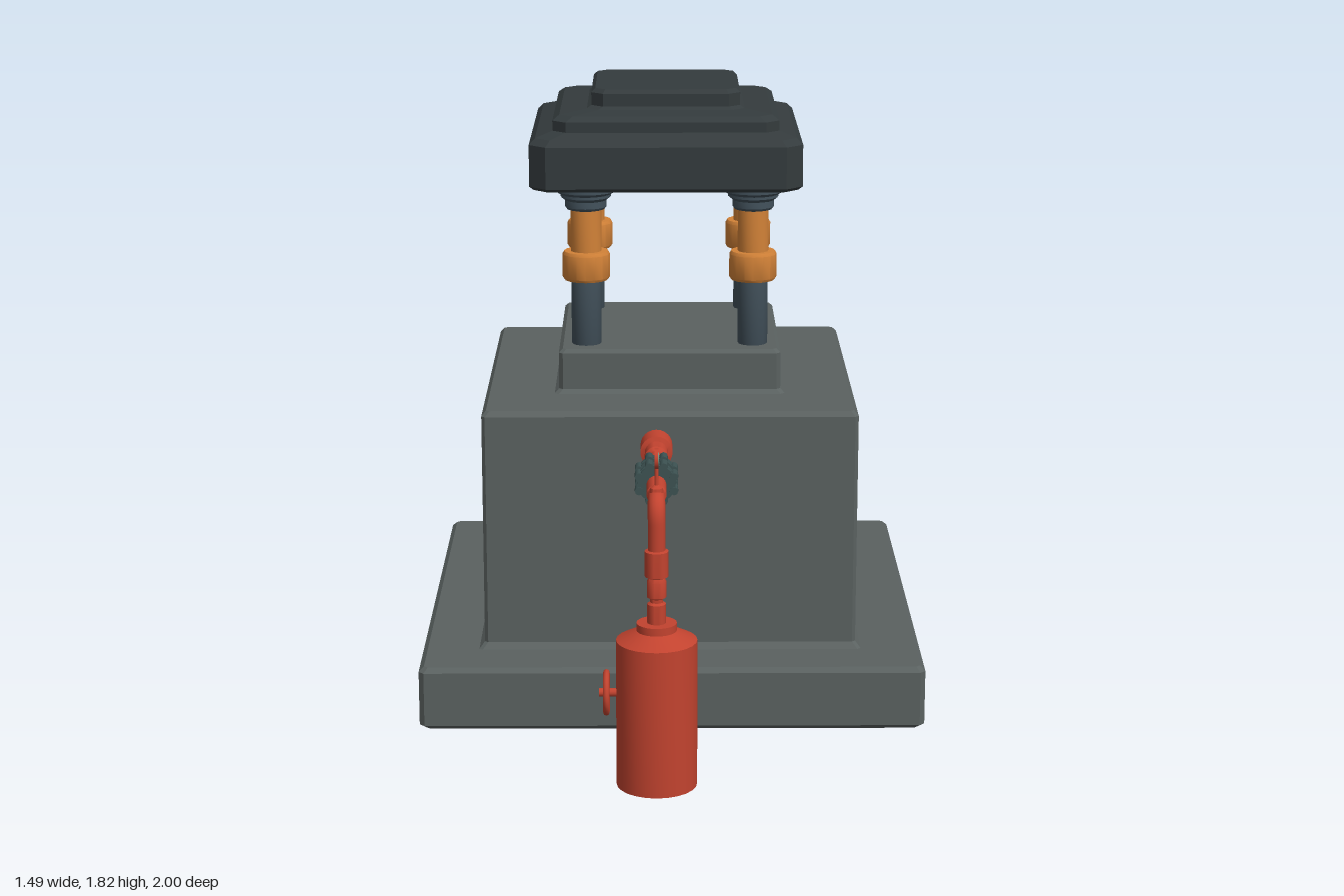
import * as THREE from 'three';
import { toCreasedNormals } from 'three/addons/utils/BufferGeometryUtils.js';

const paint = (color, side = THREE.FrontSide) => new THREE.MeshStandardMaterial({ color, side });
const stone = paint(0x5a6160), stoneInner = paint(0x5a6160, THREE.DoubleSide);
const dark = paint(0x343b3d), steel = paint(0x43525c), orange = paint(0xd28238);
const red = paint(0xc2432f), iron = paint(0x3d5353);
const teal = paint(0x27a598, THREE.DoubleSide), dial = paint(0x35d0c0);

function add(parent, name, geometry, material, x = 0, y = 0, z = 0) {
  const mesh = new THREE.Mesh(geometry, material);
  mesh.name = name;
  mesh.position.set(x, y, z);
  parent.add(mesh);
  return mesh;
}

// Flat-sided skin through rings of [x, y, z] points, with optional end caps
function loft(rings, { bottom = false, top = false, skip = () => false } = {}) {
  const out = [], n = rings[0].length;
  const tri = (...points) => points.forEach((p) => out.push(...p));
  for (let r = 0; r < rings.length - 1; r++) {
    for (let i = 0; i < n; i++) {
      if (skip(r, i)) continue;
      const j = (i + 1) % n, a = rings[r], b = rings[r + 1];
      tri(a[i], a[j], b[j]);
      tri(a[i], b[j], b[i]);
    }
  }
  const first = rings[0], last = rings[rings.length - 1];
  for (let i = 1; i < n - 1; i++) {
    if (bottom) tri(first[0], first[i + 1], first[i]);
    if (top) tri(last[0], last[i], last[i + 1]);
  }
  const geometry = new THREE.BufferGeometry();
  geometry.setAttribute('position', new THREE.Float32BufferAttribute(out, 3));
  geometry.computeVertexNormals();
  return geometry;
}

// Square ring with cut corners: half width h, height y, corner cut c
const square = (h, y, c) => [
  [c - h, y, h], [h - c, y, h], [h, y, h - c], [h, y, c - h],
  [h - c, y, -h], [c - h, y, -h], [-h, y, c - h], [-h, y, h - c],
];
const stack = (steps, options) => loft(steps.map((s) => square(...s)), options);

// Turned part from [radius, height] pairs
function turned(profile, sides = 24, crease = 0.6) {
  const points = profile.map(([r, y]) => new THREE.Vector2(r, y));
  return toCreasedNormals(new THREE.LatheGeometry(points, sides), crease);
}

function buildBody(group) {
  const cx = -0.005, cz = -0.25, h = 0.553, c = 0.01;
  const body = new THREE.Group();
  body.name = 'body';
  body.position.set(cx, 0, cz);
  group.add(body);
  // The window wall is left open here and filled by a panel with a hole
  add(body, 'bodyWalls', stack([[0.575, 0.185, c], [h, 0.21, c], [h, 0.905, c], [0.54, 0.92, c]],
    { top: true, skip: (r, i) => r === 1 && i === 6 }), stone);

  const z0 = -0.32, z1 = 0.33, y0 = 0.45, y1 = 0.82;
  const wall = new THREE.Shape([
    new THREE.Vector2(c - h, 0.21), new THREE.Vector2(h - c, 0.21),
    new THREE.Vector2(h - c, 0.905), new THREE.Vector2(c - h, 0.905)]);
  wall.holes.push(new THREE.Path([
    new THREE.Vector2(z0, y0), new THREE.Vector2(z0, y1),
    new THREE.Vector2(z1, y1), new THREE.Vector2(z1, y0)]));
  add(body, 'windowWall', new THREE.ShapeGeometry(wall).rotateY(-Math.PI / 2), stone, -h, 0, 0);

  // Stepped window frame and the glazed pocket behind it
  const rect = (depth, inset) => {
    const x = depth - h, i = inset;
    return [[x, y0 + i, z0 + i], [x, y0 + i, z1 - i], [x, y1 - i, z1 - i], [x, y1 - i, z0 + i]];
  };
  add(body, 'windowFrame', loft([rect(0, 0), rect(0.05, 0), rect(0.05, 0.05), rect(0.09, 0.05)]), stoneInner);
  add(body, 'windowGlass', loft([rect(0.09, 0.05), rect(0.12, 0.05)], { top: true }), teal);
}

function buildColumns(group) {
  for (const x of [-0.255, 0.245]) {
    for (const z of [-0.505, -0.018]) {
      const column = new THREE.Group();
      column.name = 'column';
      column.position.set(x, 0, z);
      group.add(column);
      add(column, 'columnPost', turned([[0.038, 1.04], [0.045, 1.055], [0.045, 1.26]], 16), steel);
      add(column, 'columnSleeve', turned([[0.045, 1.25], [0.066, 1.25], [0.071, 1.258], [0.071, 1.328],
        [0.066, 1.337], [0.046, 1.337], [0.046, 1.47]], 16), orange);
      add(column, 'columnCap', turned([[0.045, 1.462], [0.057, 1.465], [0.062, 1.472], [0.062, 1.492],
        [0.075, 1.502], [0.075, 1.51], [0.092, 1.52], [0.092, 1.545]], 16), steel);
    }
  }
}

function buildTank(group) {
  const tank = new THREE.Group();
  tank.name = 'tank';
  tank.position.set(-0.045, 0, 0.888);
  group.add(tank);
  add(tank, 'tankCylinder', turned([[0, 0], [0.113, 0], [0.113, 0.425], [0.056, 0.453], [0.056, 0.475],
    [0.026, 0.475], [0.026, 0.53], [0.018, 0.535], [0.018, 0.545], [0.027, 0.55], [0.027, 0.595],
    [0.022, 0.605], [0.033, 0.61], [0.033, 0.682], [0.024, 0.685]]), red);

  // Hand wheel on the tank's side
  const wheel = new THREE.Group();
  wheel.name = 'handWheel';
  wheel.position.set(-0.14, 0.27, 0);
  wheel.rotation.y = Math.PI / 2;
  tank.add(wheel);
  add(wheel, 'wheelRim', new THREE.TorusGeometry(0.056, 0.009, 8, 24), red);
  for (let i = 0; i < 3; i++) {
    add(wheel, 'wheelSpoke', new THREE.CylinderGeometry(0.005, 0.005, 0.11, 8), red).rotation.z = i * Math.PI / 3;
  }
  add(wheel, 'wheelHub', new THREE.CylinderGeometry(0.012, 0.012, 0.07, 12).rotateX(Math.PI / 2), red, 0, 0, 0.015);
}

function buildPipe(group) {
  const pipe = new THREE.Group();
  pipe.name = 'pipe';
  pipe.position.set(-0.045, 0.82, 0);
  group.add(pipe);
  // Riser, elbow and horizontal run
  const v = (y, z) => new THREE.Vector3(0, y, z);
  const path = new THREE.CurvePath();
  path.add(new THREE.LineCurve3(v(-0.15, 0.888), v(-0.06, 0.888)));
  path.add(new THREE.QuadraticBezierCurve3(v(-0.06, 0.888), v(0, 0.888), v(0, 0.828)));
  path.add(new THREE.LineCurve3(v(0, 0.828), v(0, 0.3)));
  add(pipe, 'pipeRun', new THREE.TubeGeometry(path, 70, 0.024, 16), red);
  const along = (profile) => turned(profile).rotateX(Math.PI / 2);
  add(pipe, 'wallSocket', along([[0.047, 0.29], [0.047, 0.38], [0.034, 0.385], [0.034, 0.44], [0.024, 0.45]]), red);
  add(pipe, 'pipeSleeve', along([[0.02, 0.72], [0.028, 0.72], [0.028, 0.81], [0.02, 0.82]]), red);

  // Bolted flange pair
  for (const z of [0.618, 0.688]) {
    const flange = new THREE.Group();
    flange.name = 'flange';
    flange.position.z = z;
    pipe.add(flange);
    add(flange, 'flangeDisc', along([[0.02, -0.02], [0.054, -0.02], [0.054, -0.008], [0.048, -0.006],
      [0.048, 0.006], [0.054, 0.008], [0.054, 0.02], [0.02, 0.02]]), iron);
    for (let i = 0; i < 8; i++) {
      const a = (i + 0.5) * Math.PI / 4;
      add(flange, 'flangeBolt', new THREE.CylinderGeometry(0.012, 0.012, 0.046, 8).rotateX(Math.PI / 2),
        iron, Math.cos(a) * 0.053, Math.sin(a) * 0.053, 0);
    }
  }

  // Pressure gauge
  const gauge = new THREE.Group();
  gauge.name = 'gauge';
  gauge.position.set(0, 0, 0.838);
  pipe.add(gauge);
  add(gauge, 'gaugeStem', turned([[0.02, 0.01], [0.018, 0.028], [0.006, 0.036], [0.005, 0.09]], 12), red);
  add(gauge, 'gaugeCase', new THREE.CylinderGeometry(0.028, 0.028, 0.01, 20).rotateZ(Math.PI / 2), red, 0, 0.11, 0);
  add(gauge, 'gaugeDial', new THREE.CylinderGeometry(0.018, 0.018, 0.003, 20).rotateZ(Math.PI / 2), dial, 0.005, 0.11, 0);
}

export function createModel() {
  const group = new THREE.Group();
  group.name = 'machine';
  // Stepped stone base
  add(group, 'basePlate', stack([[0.725, 0, 0.012], [0.743, 0.015, 0.015], [0.743, 0.178, 0.015],
    [0.728, 0.192, 0.012]], { bottom: true, top: true }), stone, 0, 0, -0.256);
  buildBody(group);
  add(group, 'upperPlinth', stack([[0.35, 0.915, 0.012], [0.332, 0.932, 0.012], [0.332, 1.042, 0.012],
    [0.32, 1.053, 0.01]], { top: true }), stone, -0.005, 0, -0.253);
  buildColumns(group);
  // Tiered roof slab
  add(group, 'roofSlab', stack([[0.39, 1.537, 0.045], [0.403, 1.548, 0.05], [0.403, 1.672, 0.05],
    [0.385, 1.69, 0.045], [0.335, 1.705, 0.04], [0.335, 1.735, 0.04], [0.315, 1.75, 0.04],
    [0.235, 1.757, 0.035], [0.222, 1.765, 0.035], [0.222, 1.803, 0.035], [0.21, 1.815, 0.03]],
  { bottom: true, top: true }), dark, -0.016, 0, -0.273);
  buildTank(group);
  buildPipe(group);
  return group;
}
